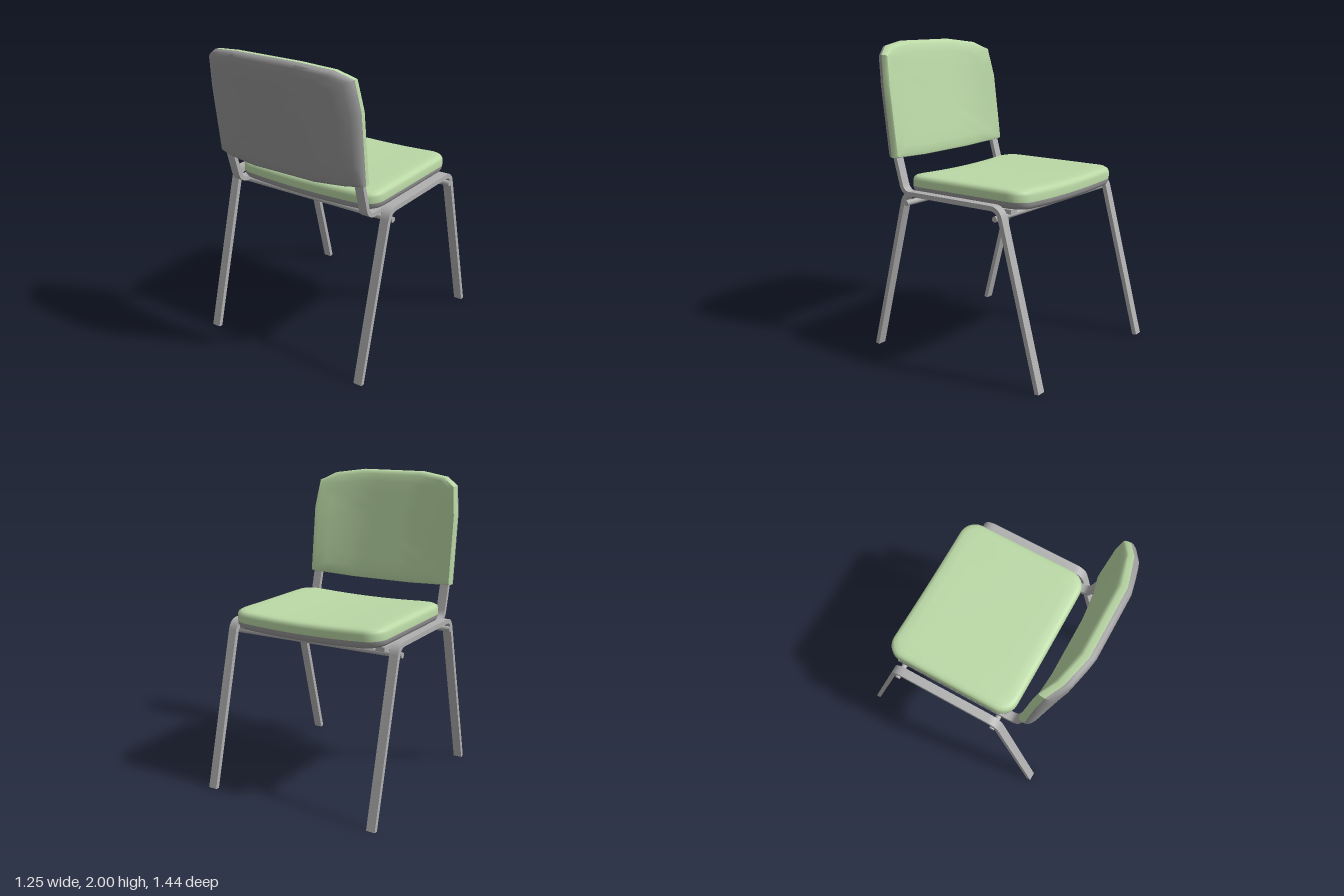
import * as THREE from 'three';
import { toCreasedNormals } from 'three/addons/utils/BufferGeometryUtils.js';

const V2 = (x, y) => new THREE.Vector2(x, y);

// Half of a cushion: an outline repeated in rings of [scale, depth] and placed by a rule.
function padGeometry(outline, rings, place, flip) {
  const n = outline.length, pos = [], index = [];
  for (const [s, d] of rings) {
    for (const p of outline) pos.push(...place(p.x * s, p.y * s, d));
  }
  const tri = (a, b, c) => index.push(...(flip ? [a, c, b] : [a, b, c]));
  for (let i = 0; i < rings.length - 1; i++) {
    for (let j = 0; j < n; j++) {
      const k = (j + 1) % n;
      const a = i * n + j, b = i * n + k, c = a + n - j + k, d = a + n;
      tri(a, b, c);
      if (rings[i + 1][0] > 0) tri(a, c, d);
    }
  }
  const geo = new THREE.BufferGeometry();
  geo.setAttribute('position', new THREE.Float32BufferAttribute(pos, 3));
  geo.setIndex(index);
  return toCreasedNormals(geo, 0.8);
}

// Splits the edges of a closed outline into short pieces.
function subdivide(points, step) {
  const out = [];
  points.forEach((p, i) => {
    const q = points[(i + 1) % points.length];
    const n = Math.max(1, Math.ceil(p.distanceTo(q) / step));
    for (let k = 0; k < n; k++) out.push(p.clone().lerp(q, k / n));
  });
  return out;
}

// Flat bar bent along corners given as (z, y), centred on x = 0.
function bentBar(corners, radius, width, thickness) {
  const path = [corners[0]];
  for (let i = 1; i < corners.length - 1; i++) {
    const c = corners[i];
    const a = c.clone().add(corners[i - 1].clone().sub(c).setLength(radius));
    const b = c.clone().add(corners[i + 1].clone().sub(c).setLength(radius));
    path.push(...new THREE.QuadraticBezierCurve(a, c, b).getPoints(6));
  }
  path.push(corners[corners.length - 1]);
  const side = (sign) => path.map((p, i) => {
    const t = path[Math.min(i + 1, path.length - 1)].clone().sub(path[Math.max(i - 1, 0)]).normalize();
    const h = sign * thickness / 2;
    return V2(p.x - t.y * h, Math.max(0, p.y + t.x * h));
  });
  const shape = new THREE.Shape([...side(1), ...side(-1).reverse()]);
  const geo = new THREE.ExtrudeGeometry(shape, { depth: width, bevelEnabled: false });
  geo.translate(0, 0, -width / 2).rotateY(-Math.PI / 2);
  return toCreasedNormals(geo, 0.6);
}

export function createModel() {
  const group = new THREE.Group();
  const material = (name, color) => {
    const m = new THREE.MeshStandardMaterial({ color });
    m.name = name;
    return m;
  };
  const green = material('green fabric', 0xbbd9a6);
  const shell = material('grey shell', 0x999999);
  const metal = material('grey metal', 0xb0b0b0);
  const add = (name, geo, mat, x = 0, y = 0, z = 0) => {
    const mesh = new THREE.Mesh(geo, mat);
    mesh.name = name;
    mesh.position.set(x - 0.005, y, z);
    group.add(mesh);
  };
  const inner = [[0.8, 1], [0.6, 1], [0.4, 1], [0.2, 1], [0, 1]];
  const fill = (d) => inner.map(([s]) => [s, d]);

  // Seat: rounded rectangle, sagging slightly across its width
  const hx = 0.538, hz = 0.453, r = 0.11;
  const seatCorners = [];
  [[1, 1], [-1, 1], [-1, -1], [1, -1]].forEach(([sx, sz], q) => {
    for (let k = 0; k <= 6; k++) {
      const a = (q + k / 6) * Math.PI / 2;
      seatCorners.push(V2(sx * (hx - r) + r * Math.cos(a), sz * (hz - r) + r * Math.sin(a)));
    }
  });
  const seatOutline = subdivide(seatCorners, 0.12);
  const placeSeat = (x, q, d) => [x, 1.105 + d - 0.02 * (1 - (x / hx) ** 2), -q - 0.078];
  add('seatCushion', padGeometry(seatOutline,
    [[1, 0], [1, 0.04], [0.99, 0.057], [0.965, 0.068], [0.92, 0.074], ...fill(0.076)], placeSeat, false), green);
  add('seatShell', padGeometry(seatOutline,
    [[1, 0], [0.995, -0.02], [0.98, -0.036], [0.95, -0.045], ...fill(-0.046)], placeSeat, true), shell);

  // Backrest: leaning panel with clipped top corners, wrapping forward at the sides
  const midY = 1.62;
  const half = [[0.23, 1.247], [0.44, 1.26], [0.55, 1.272], [0.55, 1.73], [0.525, 1.92], [0.43, 1.972], [0.23, 1.998]]
    .map(([x, y]) => V2(x, y - midY));
  const backOutline = subdivide([...half, ...half.map((p) => V2(-p.x, p.y)).reverse()], 0.12);
  const wrap = (x) => {
    const a = Math.abs(x);
    return Math.max(0, a - 0.23) * 0.22 + Math.max(0, a - 0.42) * 0.3;
  };
  const placeBack = (x, q, d) => {
    const y = q + midY;
    const curl = 0.5 + 0.5 * (y - 1.25) / 0.7;
    return [x, y, 0.54 + 0.2 * (y - 1.27) - wrap(x) * curl + d];
  };
  add('backrestCushion', padGeometry(backOutline,
    [[1, 0], [0.995, -0.035], [0.98, -0.048], [0.93, -0.055], ...fill(-0.058)], placeBack, true), green);
  add('backrestShell', padGeometry(backOutline,
    [[1, 0], [0.995, 0.015], [0.97, 0.032], [0.92, 0.041], ...fill(0.045)], placeBack, false), shell);

  // Side frames and backrest supports
  const legs = bentBar([V2(0.6, 0), V2(0.316, 1.073), V2(-0.422, 1.073), V2(-0.706, 0)], 0.06, 0.058, 0.03);
  const support = bentBar([V2(-0.45, 1.045), V2(0.412, 1.045), V2(0.525, 1.45)], 0.06, 0.06, 0.028);
  for (const [side, s] of [['left', 1], ['right', -1]]) {
    add(side + 'LegFrame', legs, metal, s * 0.59);
    add(side + 'BackSupport', support, metal, s * 0.5);
  }

  // Cross bars under the seat
  const bar = new THREE.CylinderGeometry(0.018, 0.018, 1.25, 16).rotateZ(Math.PI / 2);
  add('rearCrossBar', bar, metal, 0, 1.013, 0.298);
  add('frontCrossBar', bar, metal, 0, 1.013, -0.402);

  return group;
}
